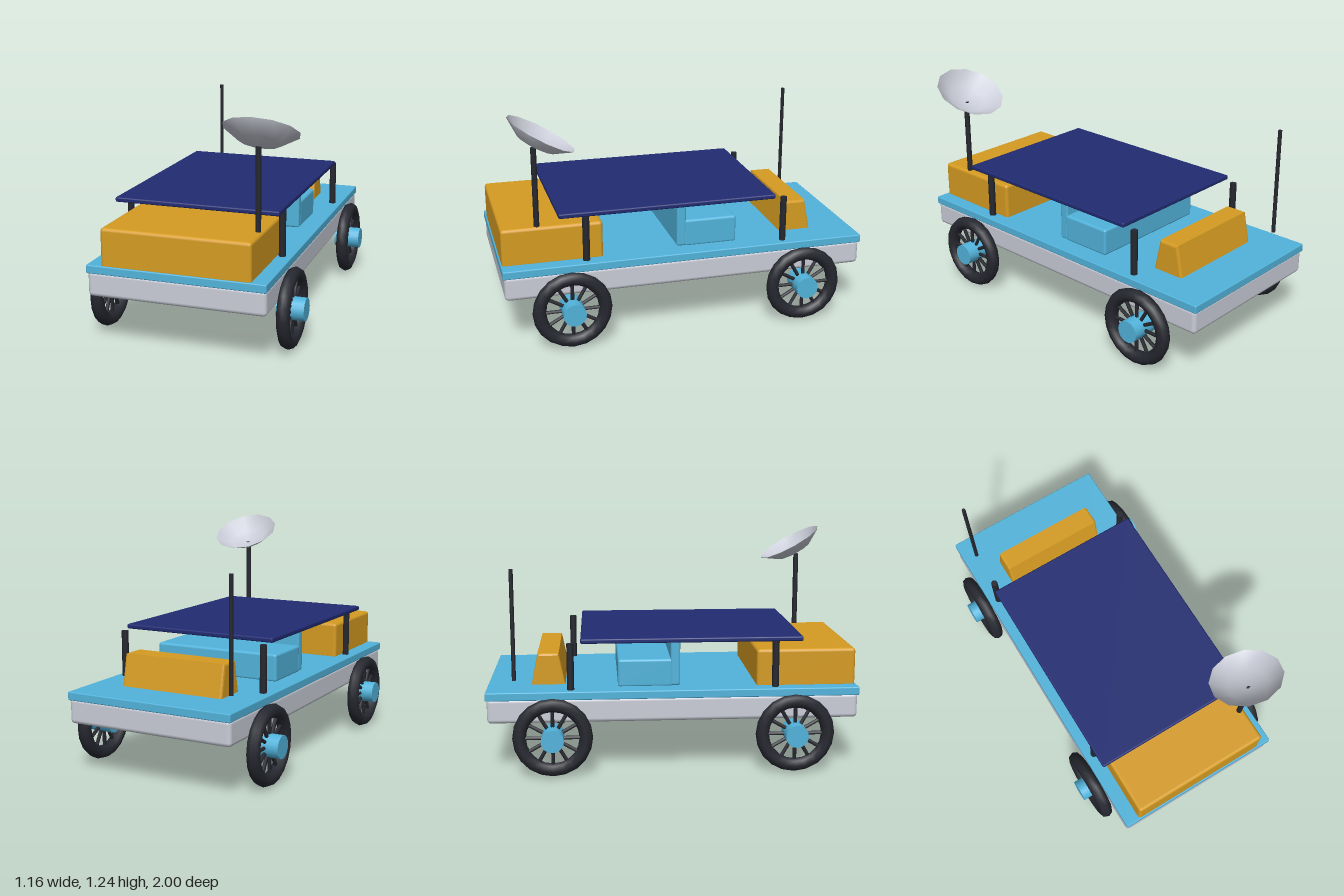
import * as THREE from 'three';
import { RoundedBoxGeometry } from 'three/addons/geometries/RoundedBoxGeometry.js';

const mat = (name, color, extra = {}) => {
  const m = new THREE.MeshStandardMaterial({ color, ...extra });
  m.name = name;
  return m;
};

export function createModel() {
  const sky = mat('sky blue paint', 0x52b4dc);
  const navy = mat('navy panel', 0x212b72);
  const ochre = mat('ochre paint', 0xd69c22);
  const silver = mat('silver', 0xcacdd8, { side: THREE.DoubleSide });
  const black = mat('black rubber', 0x262830);

  const model = new THREE.Group();
  model.name = 'rover';

  const add = (name, geometry, material, x, y, z, parent = model) => {
    const mesh = new THREE.Mesh(geometry, material);
    mesh.name = name;
    mesh.position.set(x, y, z);
    parent.add(mesh);
    return mesh;
  };
  // Rounded box from its extents: half width, then y and z ranges
  const block = (name, material, hw, y0, y1, z0, z1, r) =>
    add(name, new RoundedBoxGeometry(2 * hw, y1 - y0, z1 - z0, 2, r), material,
      0, (y0 + y1) / 2, (z0 + z1) / 2);
  // Upright rod
  const rod = (name, r, x, z, y0, y1) =>
    add(name, new THREE.CylinderGeometry(r, r, y1 - y0, 8), black, x, (y0 + y1) / 2, z);

  // Body
  block('chassis', silver, 0.472, 0.285, 0.42, -0.993, 0.993, 0.022);
  block('deck', sky, 0.475, 0.41, 0.455, -1, 1, 0.006);
  block('frontLocker', ochre, 0.396, 0.44, 0.653, 0.453, 0.993, 0.018);

  // Bench seat
  block('seatCushion', sky, 0.37, 0.45, 0.602, -0.297, 0.0, 0.014);
  block('seatBack', sky, 0.37, 0.455, 0.707, -0.012, 0.04, 0.012);

  // Rear locker: bevelled trapezoid running across the deck
  const b = 0.012;
  const profile = new THREE.Shape([[0.58, 0.455], [0.765, 0.455], [0.732, 0.626], [0.613, 0.626]]
    .map(([z, y]) => new THREE.Vector2(z + (z < 0.67 ? b : -b), y + (y < 0.5 ? 0 : -b))));
  const lockerGeo = new THREE.ExtrudeGeometry(profile, {
    depth: 0.594 - 2 * b, bevelEnabled: true, bevelThickness: b, bevelSize: b, bevelSegments: 2,
  });
  lockerGeo.translate(0, 0, -0.297 + b);
  lockerGeo.rotateY(Math.PI / 2);
  add('rearLocker', lockerGeo, ochre, 0, 0, 0);

  // Solar roof on four posts
  block('solarPanel', navy, 0.446, 0.706, 0.732, -0.495, 0.695, 0.008);
  for (const x of [-0.422, 0.422])
    for (const z of [-0.55, 0.55]) rod('roofPost', 0.019, x, z, 0.45, 0.706);

  // Antenna and dish mast
  rod('antenna', 0.011, -0.4, -0.85, 0.505, 1.1);
  rod('dishMast', 0.015, 0.37, 0.8, 0.64, 1.079);

  // Dish: shallow spherical cap tilted backwards
  const dishGeo = new THREE.SphereGeometry(0.272, 12, 2, 0, Math.PI * 2, 0, 0.8);
  dishGeo.rotateX(Math.PI);
  dishGeo.translate(0, 0.272 * Math.cos(0.8), 0);
  const dish = add('dish', dishGeo, silver, 0.37, 1.15, 0.757);
  dish.rotation.x = -0.51;

  // Wheels: tyre, spokes and hub, built around the x axis
  const tyreGeo = new THREE.TorusGeometry(0.177, 0.036, 8, 20).rotateY(Math.PI / 2);
  const hubGeo = new THREE.CylinderGeometry(0.061, 0.061, 0.15, 16).rotateZ(Math.PI / 2);
  const spokeGeo = new THREE.CylinderGeometry(0.01, 0.01, 0.12, 6).translate(0, 0.1, 0);
  for (const x of [-0.507, 0.507]) {
    for (const z of [-0.647, 0.647]) {
      const wheel = new THREE.Group();
      wheel.name = `${z > 0 ? 'front' : 'rear'}${x > 0 ? 'Left' : 'Right'}Wheel`;
      wheel.position.set(x, 0.216, z);
      add('tyre', tyreGeo, black, 0, 0, 0, wheel);
      add('hub', hubGeo, sky, 0, 0, 0, wheel);
      for (let i = 0; i < 12; i++)
        add('spoke', spokeGeo, black, 0, 0, 0, wheel).rotation.x = (i * Math.PI) / 6;
      model.add(wheel);
    }
  }
  return model;
}
